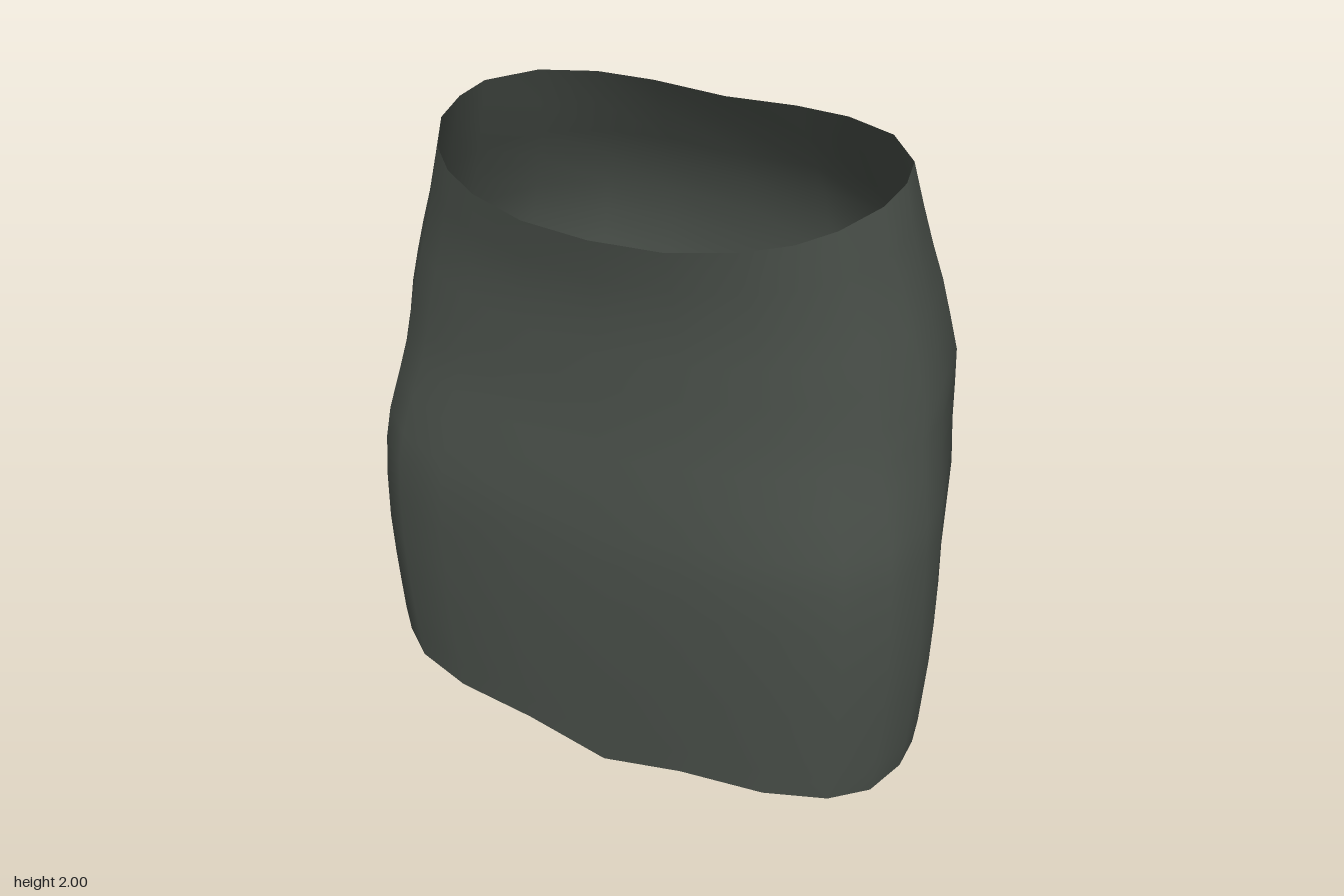
import * as THREE from 'three';
import { mergeVertices } from 'three/addons/utils/BufferGeometryUtils.js';

// Piecewise linear lookup in a list of [key, value] with rising keys
function lookup(table, k) {
  if (k <= table[0][0]) return table[0][1];
  for (let i = 1; i < table.length; i++) {
    const [k0, v0] = table[i - 1], [k1, v1] = table[i];
    if (k <= k1) return v0 + (v1 - v0) * (k - k0) / (k1 - k0);
  }
  return table[table.length - 1][1];
}

// Outline of the skirt by height
const sideX = [[0.1, 0.91], [0.2, 0.92], [0.54, 0.932], [0.72, 0.927], [1.06, 0.9], [1.2, 0.875],
  [1.42, 0.85], [1.6, 0.8], [1.75, 0.752], [1.9, 0.71], [2, 0.685]];
const frontZ = [[0, 0.545], [0.3, 0.557], [0.6, 0.565], [0.9, 0.562], [1.1, 0.54], [1.3, 0.51],
  [1.5, 0.495], [1.7, 0.488], [1.89, 0.526]];
const backZ = [[0.1, -0.522], [0.45, -0.522], [0.64, -0.502], [0.85, -0.507], [1.03, -0.522], [1.2, -0.55],
  [1.42, -0.562], [1.64, -0.527], [1.86, -0.41], [1.97, -0.335]];
const middleZ = [[0.1, 0.14], [0.8, 0.13], [1.4, 0.05], [2, 0.04]];

// Squareness of the front and back halves by height
const frontPower = [[0.1, 3.2], [0.95, 3.15], [1.3, 2.35], [2, 2.05]];
const backPower = [[0.1, 1.93], [0.8, 1.95], [1.1, 2.2], [1.42, 2.5], [2, 2.45]];

// Half-width of the back slit by height
const slit = [[0.1, 0.053], [0.62, 0.025], [0.8, 0]];

// Columns from centre front round to centre back: angle, waist height, hem height
const columns = [[0, 1.89, 0], [17, 1.893, 0.07], [33, 1.908, 0.08], [46, 1.924, 0.09], [58, 1.945, 0.1],
  [75, 1.97, 0.107], [90, 1.985, 0.11], [107, 1.997, 0.113], [129, 2, 0.115], [146, 1.995, 0.11],
  [161, 1.984, 0.1], [180, 1.968, 0.095]];
const rows = [0.1, 0.2, 0.32, 0.46, 0.62, 0.8, 0.95, 1.06, 1.2, 1.31, 1.42, 1.53, 1.64, 1.75, 1.87, 2];

// Rounded fullness on each side of the seat
const seatBump = (degrees, y) =>
  0.025 * Math.exp(-(((degrees - 154) / 13) ** 2) - ((y - 1.45) / 0.25) ** 2);

function skirtGeometry() {
  const positions = [], index = [];
  const last = columns.length - 1, width = last * 2 + 1;
  rows.forEach((level, r) => {
    const t = (level - 0.1) / 1.9;
    for (let c = -last; c <= last; c++) {
      const side = Math.sign(c);
      const [degrees, waist, hem] = columns[Math.abs(c)];
      const y = hem + (waist - hem) * t;
      const angle = THREE.MathUtils.degToRad(degrees);
      const s = Math.sin(angle), k = Math.cos(angle);
      const n = lookup(k >= 0 ? frontPower : backPower, y);
      const reach = (s ** n + Math.abs(k) ** n) ** (-1 / n);
      const mid = lookup(middleZ, y);
      const depth = k >= 0 ? lookup(frontZ, y) - mid : mid - lookup(backZ, y);
      // The two back edges part below the top of the slit
      const x = degrees === 180 ? lookup(slit, level) : s * reach * lookup(sideX, y);
      positions.push(side * x, y, mid + k * reach * depth - seatBump(degrees, y));
      if (r > 0 && c < last) {
        const p = r * width + c + last, q = p - width;
        index.push(q, q + 1, p + 1, q, p + 1, p);
      }
    }
  });
  const geometry = new THREE.BufferGeometry();
  geometry.setAttribute('position', new THREE.Float32BufferAttribute(positions, 3));
  geometry.setIndex(index);
  // Join the back seam above the slit
  const joined = mergeVertices(geometry, 1e-4);
  joined.computeVertexNormals();
  return joined;
}

export function createModel() {
  const group = new THREE.Group();
  group.name = 'skirt';
  const cloth = new THREE.MeshStandardMaterial({ color: 0x474d47, side: THREE.DoubleSide });
  cloth.name = 'dark grey green cloth';
  const body = new THREE.Mesh(skirtGeometry(), cloth);
  body.name = 'skirtBody';
  group.add(body);
  return group;
}
